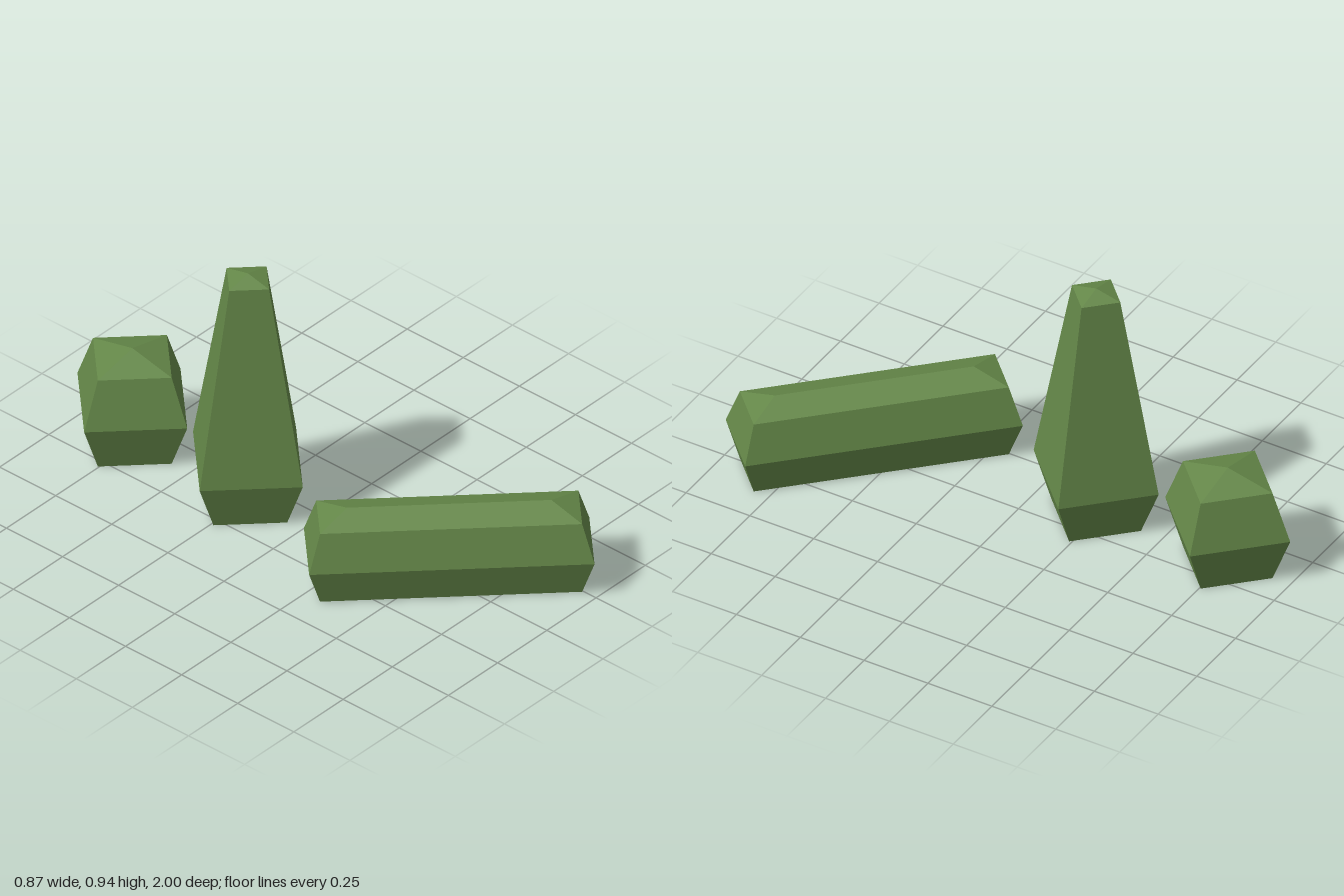
import * as THREE from 'three';
import { ConvexGeometry } from 'three/addons/geometries/ConvexGeometry.js';

const leaf = new THREE.MeshStandardMaterial({ color: 0x648748 });
leaf.name = 'leaf green';

// A clipped shrub as a faceted hull; each ring is [y, half length, half width].
function shrub(name, rings, x, y, z) {
  const points = [];
  for (const [h, a, b] of rings) {
    const xs = a > 0 ? [-a, a] : [0];
    const zs = b > 0 ? [-b, b] : [0];
    for (const px of xs) for (const pz of zs) points.push(new THREE.Vector3(px, h, pz));
  }
  const mesh = new THREE.Mesh(new ConvexGeometry(points), leaf);
  mesh.name = name;
  mesh.position.set(x, y, z);
  mesh.rotation.y = -Math.PI / 4;
  return mesh;
}

export function createModel() {
  const group = new THREE.Group();
  group.name = 'clippedShrubs';

  // Square block shrub with a low pyramid top
  group.add(shrub('blockShrub', [
    [0, 0.124, 0.124], [0.177, 0.173, 0.173], [0.353, 0.124, 0.124], [0.393, 0, 0],
  ], -0.105, 0, -0.755));

  // Tall tapering shrub
  group.add(shrub('tallShrub', [
    [0, 0.124, 0.124], [0.177, 0.173, 0.173], [0.92, 0.067, 0.067], [0.942, 0, 0],
  ], -0.105, 0, -0.24));

  // Long hedge with a ridge top
  group.add(shrub('longHedge', [
    [0, 0.44, 0.097], [0.139, 0.479, 0.136], [0.278, 0.44, 0.097], [0.313, 0.343, 0],
  ], 0, 0.003, 0.565));

  return group;
}
